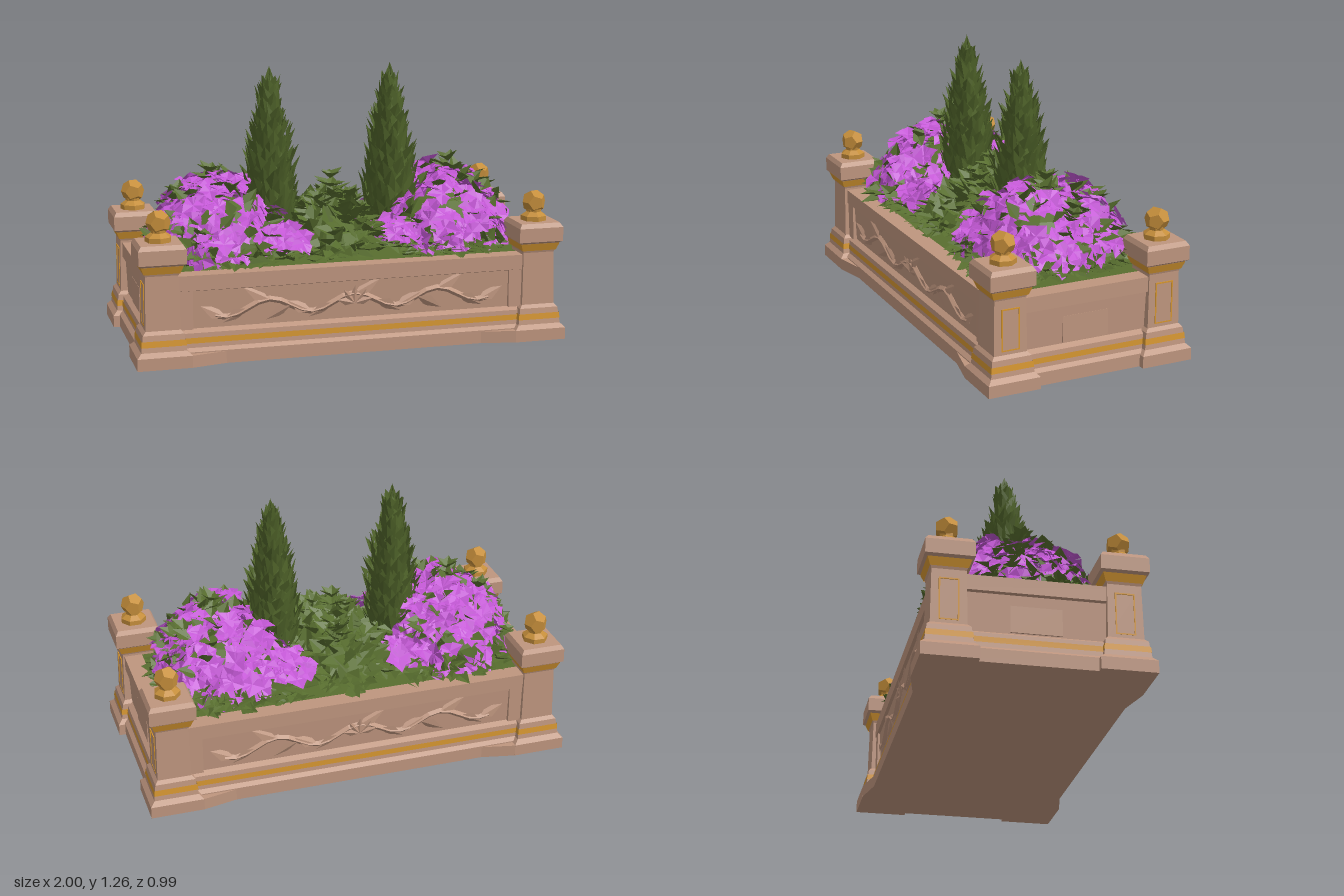
import * as THREE from 'three';

const V = (x, y, z) => new THREE.Vector3(x, y, z);
const mat = (name, color) => {
  const m = new THREE.MeshStandardMaterial({ color, flatShading: true, side: THREE.DoubleSide });
  m.name = name;
  return m;
};

// Seeded random numbers
let seed = 7;
const rnd = (a = 0, b = 1) => {
  seed = (seed * 1664525 + 1013904223) % 4294967296;
  return a + (b - a) * seed / 4294967296;
};

const toGeometry = pts => {
  const g = new THREE.BufferGeometry().setFromPoints(pts);
  g.computeVertexNormals();
  return g;
};

// Rectangular moulding: profile of [outset, y] swept round a rectangle
function moulding(hx, hz, profile, capBottom = false, capTop = false) {
  const pts = [];
  const ring = ([o, y]) => [V(hx + o, y, hz + o), V(hx + o, y, -hz - o), V(-hx - o, y, -hz - o), V(-hx - o, y, hz + o)];
  for (let i = 0; i < profile.length - 1; i++) {
    const a = ring(profile[i]), b = ring(profile[i + 1]);
    for (let k = 0; k < 4; k++) {
      const n = (k + 1) % 4;
      pts.push(a[k], a[n], b[n], a[k], b[n], b[k]);
    }
  }
  const first = ring(profile[0]), last = ring(profile[profile.length - 1]);
  if (capBottom) pts.push(first[0], first[2], first[1], first[0], first[3], first[2]);
  if (capTop) pts.push(last[0], last[1], last[2], last[0], last[2], last[3]);
  return toGeometry(pts);
}

// Folded pointed leaf pushed into a point list
function leaf(pts, p, dir, normal, len, width, fold, droop = 0) {
  const d = dir.clone().normalize();
  const side = d.clone().cross(normal).normalize();
  const n = side.clone().cross(d);
  const mid = p.clone().addScaledVector(d, len * 0.45).addScaledVector(n, fold);
  const tip = p.clone().addScaledVector(d, len).addScaledVector(n, -droop);
  const l = mid.clone().addScaledVector(side, -width / 2), r = mid.clone().addScaledVector(side, width / 2);
  pts.push(p, r, tip, p, tip, l);
}

// Ring of leaves or petals facing along a normal
function rosette(pts, p, normal, count, len, width, lift) {
  const n = normal.clone().normalize();
  const u = V(n.y, -n.x, 0.3).cross(n).normalize(), w = n.clone().cross(u);
  const start = rnd(0, 6.28);
  for (let i = 0; i < count; i++) {
    const a = start + i / count * Math.PI * 2 + rnd(-0.2, 0.2);
    const d = u.clone().multiplyScalar(Math.cos(a)).addScaledVector(w, Math.sin(a)).addScaledVector(n, lift + rnd(-0.2, 0.2));
    leaf(pts, p, d, n, len * rnd(0.8, 1.2), width, 0.008, 0.008);
  }
}

// Leafy shoot: rosettes stacked down a stem
function shoot(pts, x, y, z) {
  for (let k = 0; k < 4; k++) rosette(pts, V(x, y - k * 0.04, z), V(rnd(-0.2, 0.2), 1, rnd(-0.2, 0.2)), 6, 0.07 + k * 0.018, 0.05, 0.9 - k * 0.25);
}

// Random point and normal on the upper half of an ellipsoid
function domePoint(c, r, low, high) {
  const h = rnd(low, high), a = rnd(0, Math.PI * 2), s = Math.sqrt(1 - h * h);
  const e = V(s * Math.cos(a), h, s * Math.sin(a));
  return { p: e.clone().multiply(r).add(c), n: e.divide(r).normalize() };
}

export function createModel() {
  const root = new THREE.Group();
  const stone = mat('terracotta stone', 0xbe957e);
  const gold = mat('gold trim', 0xd49530);
  const finialGold = mat('finial gold', 0xc58e3b);
  const leafGreen = mat('leaf green', 0x586e2f);
  const cypressGreen = mat('cypress green', 0x50642a);
  const purple = mat('purple petals', 0xc458d6);
  const add = (name, geo, m, parent = root) => {
    const mesh = new THREE.Mesh(geo, m);
    mesh.name = name;
    parent.add(mesh);
    return mesh;
  };

  // Trough with plinth, recessed panel and rim
  add('trough', moulding(0.91, 0.4, [[0.06, 0], [0.06, 0.06], [0.042, 0.075], [0.036, 0.14], [0.012, 0.155],
    [0.02, 0.327], [0.034, 0.332], [0.034, 0.4], [-0.05, 0.4], [-0.05, 0.36]], true), stone);
  add('troughGoldLine', moulding(0.91, 0.4, [[0.043, 0.095], [0.042, 0.12]]), gold);
  add('groundCover', new THREE.BoxGeometry(1.72, 0.02, 0.7).translate(0, 0.388, 0), leafGreen);

  // Front and back frieze: frame ends, vine and leaves
  for (const turn of [0, Math.PI]) {
    const frieze = new THREE.Group();
    frieze.name = turn ? 'backFrieze' : 'frontFrieze';
    frieze.rotation.y = turn;
    root.add(frieze);
    for (const s of [-1, 1]) add('panelEnd', new THREE.BoxGeometry(0.07, 0.18, 0.03).translate(s * 0.775, 0.245, 0.415), stone, frieze);
    const path = [], leaves = [];
    for (let i = 0; i <= 26; i++) {
      const x = -0.64 + i * 1.28 / 26;
      path.push(V(x, 0.235 + 0.035 * Math.cos(x * 16), 0.42));
      if (i % 2) {
        const up = i % 4 === 1 ? 1 : -1;
        leaf(leaves, path[i].clone().add(V(0, 0, 0.008)), V(x < 0 ? -0.9 : 0.9, up * 0.45, 0), V(0, up * 0.4, 1), 0.13, 0.06, -0.008, 0);
      }
    }
    for (const a of [0.25, 0.9, 1.57, 2.24, 2.89]) leaf(leaves, V(0, 0.225, 0.43), V(Math.cos(a), Math.sin(a), 0.1), V(0, 0, 1), 0.085, 0.04, -0.01);
    add('vine', new THREE.TubeGeometry(new THREE.CatmullRomCurve3(path), 26, 0.014, 4), stone, frieze);
    add('vineLeaves', toGeometry(leaves), stone, frieze);
  }

  // Raised panels on the two ends
  for (const s of [-1, 1]) add('endPanel', new THREE.BoxGeometry(0.008, 0.12, 0.22).translate(s * 0.925, 0.22, 0), stone);

  // Corner posts with gold bands and ball finials
  for (const sx of [-1, 1]) for (const sz of [-1, 1]) {
    const post = new THREE.Group();
    post.name = 'cornerPost';
    post.position.set(sx * 0.878, 0, sz * 0.372);
    root.add(post);
    add('postBody', moulding(0, 0, [[0.122, 0], [0.122, 0.055], [0.102, 0.075], [0.092, 0.15], [0.078, 0.165],
      [0.074, 0.41], [0.09, 0.455], [0.106, 0.465], [0.106, 0.53], [0.093, 0.55]], true, true), stone, post);
    add('postGoldBand', moulding(0, 0, [[0.101, 0.098], [0.098, 0.125]]), gold, post);
    add('capGoldBand', moulding(0, 0, [[0.081, 0.42], [0.094, 0.455]]), gold, post);
    // Thin gold outline on the outer end face
    for (const k of [-1, 1]) {
      add('goldOutline', new THREE.BoxGeometry(0.004, 0.19, 0.006).translate(sx * 0.077, 0.275, k * 0.04), gold, post);
      add('goldOutline', new THREE.BoxGeometry(0.004, 0.006, 0.08).translate(sx * 0.077, 0.275 + k * 0.092, 0), gold, post);
    }
    const foot = [[0.06, 0.55], [0.06, 0.572], [0.034, 0.59], [0.036, 0.61]].map(([x, y]) => new THREE.Vector2(x, y));
    add('finialFoot', new THREE.LatheGeometry(foot, 7), finialGold, post);
    add('finialBall', new THREE.DodecahedronGeometry(0.056).rotateY(0.4).translate(0, 0.635, 0), finialGold, post);
    // Wedge where the post foot meets the plinth
    const wedge = new THREE.Shape([[0, 0], [0.16, 0], [0, 0.034]].map(([x, y]) => new THREE.Vector2(x, y)));
    const w = add('footWedge', new THREE.ExtrudeGeometry(wedge, { depth: 0.055, bevelEnabled: false }).rotateX(-Math.PI / 2), stone, post);
    w.scale.set(-sx, 1, -sz);
    w.position.set(-sx * 0.12, 0, sz * 0.088);
  }

  // Flowering bushes on both sides
  for (const s of [-1, 1]) {
    const bush = new THREE.Group();
    bush.name = s > 0 ? 'leftFlowerBush' : 'rightFlowerBush';
    root.add(bush);
    const c = V(s * 0.53, 0.4, 0), r = V(0.295, 0.33, 0.355), petals = [], leaves = [];
    add('bushCore', new THREE.SphereGeometry(1, 12, 5, 0, Math.PI * 2, 0, Math.PI / 2)
      .scale(r.x * 0.8, r.y * 0.8, r.z * 0.8).translate(c.x, c.y, 0), leafGreen, bush);
    for (let i = 0; i < 230; i++) {
      const { p, n } = domePoint(c, r, 0.13, 1);
      rosette(petals, p.addScaledVector(n, rnd(-0.03, 0.045)), n.add(V(rnd(-0.6, 0.6), rnd(0, 0.6), rnd(-0.6, 0.6))), 4, 0.06, 0.068, 0.15);
    }
    // Low blossom spilling round the cypress
    for (const side of [-1, 1]) for (let i = 0; i < 14; i++)
      rosette(petals, V(s * rnd(0.2, 0.36), rnd(0.47, 0.54), side * rnd(0.13, 0.33)), V(rnd(-0.5, 0.5), 1, side * rnd(0, 1)), 4, 0.06, 0.068, 0.15);
    for (let i = 0; i < 220; i++) {
      const { p, n } = domePoint(c, r, 0.02, i < 130 ? 0.22 : 1);
      leaf(leaves, p, n.clone().add(V(rnd(-1, 1), rnd(-0.1, 0.7), rnd(-1, 1))), V(0, 1, 0).add(n), rnd(0.07, 0.11), 0.07, 0.008, 0.015);
    }
    // Leafy tips standing above the blossom
    shoot(leaves, s * 0.58, 0.78, 0.02);
    shoot(leaves, s * 0.72, 0.68, -0.04);
    add('petals', toGeometry(petals), purple, bush);
    add('bushLeaves', toGeometry(leaves), leafGreen, bush);
  }

  // Low leafy planting in the middle, over the bed and along the rim
  const low = [];
  const mc = V(0, 0.4, 0), mr = V(0.2, 0.2, 0.32);
  for (let i = 0; i < 210; i++) {
    const { p, n } = domePoint(mc, mr, 0.04, 1);
    leaf(low, p, n.clone().add(V(rnd(-1, 1), rnd(-0.2, 0.6), rnd(-1, 1))), V(0, 1, 0).add(n), rnd(0.08, 0.12), 0.085, 0.008, 0.015);
  }
  for (const [x, y, z] of [[0, 0.72, 0], [0.07, 0.65, 0.1], [-0.08, 0.63, 0.06], [0, 0.62, -0.14], [0.02, 0.58, 0.2]]) shoot(low, x, y, z);
  for (let i = 0; i < 260; i++) {
    const a = rnd(0, Math.PI * 2), q = t => Math.sign(t) * Math.abs(t) ** 0.5;
    const out = V(q(Math.cos(a)), 0, q(Math.sin(a)));
    leaf(low, V(out.x * 0.77, rnd(0.39, 0.43), out.z * 0.3), out.add(V(rnd(-0.9, 0.9), rnd(0.05, 0.7), rnd(-0.9, 0.9))), V(0, 1, 0), rnd(0.07, 0.11), 0.075, 0.008, 0.012);
  }
  for (let i = 0; i < 300; i++)
    leaf(low, V(rnd(-0.78, 0.78), rnd(0.4, 0.43), rnd(-0.32, 0.32)), V(rnd(-1, 1), rnd(0, 0.5), rnd(-1, 1)), V(0, 1, 0), 0.1, 0.08, 0.008, 0.01);
  add('lowLeaves', toGeometry(low), leafGreen);
  add('lowLeafCore', new THREE.SphereGeometry(1, 12, 5, 0, Math.PI * 2, 0, Math.PI / 2).scale(0.17, 0.17, 0.28).translate(0, 0.4, 0), leafGreen);

  // Two cypress trees of upright overlapping scales
  const outline = [[0.07, 0.39], [0.105, 0.52], [0.115, 0.64], [0.103, 0.78], [0.082, 0.9], [0.06, 1.0], [0.042, 1.1], [0.02, 1.18], [0, 1.23]];
  for (const s of [-1, 1]) {
    const tree = new THREE.Group();
    tree.name = s > 0 ? 'leftCypress' : 'rightCypress';
    tree.position.x = s * 0.29;
    root.add(tree);
    add('cypressCore', new THREE.LatheGeometry(outline.map(([x, y]) => new THREE.Vector2(x * 0.85, y)), 9), cypressGreen, tree);
    const scales = [];
    for (let i = 0; i < 280; i++) {
      const y = 0.4 + 0.75 * (i / 280) ** 1.2;
      const k = outline.findIndex(o => o[1] > y), [r0, y0] = outline[k - 1], [r1, y1] = outline[k];
      const r = (r0 + (r1 - r0) * (y - y0) / (y1 - y0)) * rnd(0.85, 1.1), a = i * 2.39996;
      const out = V(Math.cos(a), 0, Math.sin(a)), lean = y > 1 ? 0.05 : 0.2;
      const size = 1.1 - 0.3 * (y - 0.4) / 0.8;
      leaf(scales, V(out.x * r, y, out.z * r), V(out.x * lean + rnd(-0.2, 0.2), 1, out.z * lean + rnd(-0.2, 0.2)), out, rnd(0.08, 0.115) * size, 0.064 * size, -0.01, -0.004);
    }
    leaf(scales, V(0, 1.16, 0), V(0, 1, 0), V(0, 0, 1), 0.1, 0.04, 0);
    leaf(scales, V(0, 1.16, 0), V(0, 1, 0), V(1, 0, 0), 0.1, 0.04, 0);
    add('cypressScales', toGeometry(scales), cypressGreen, tree);
  }
  return root;
}
